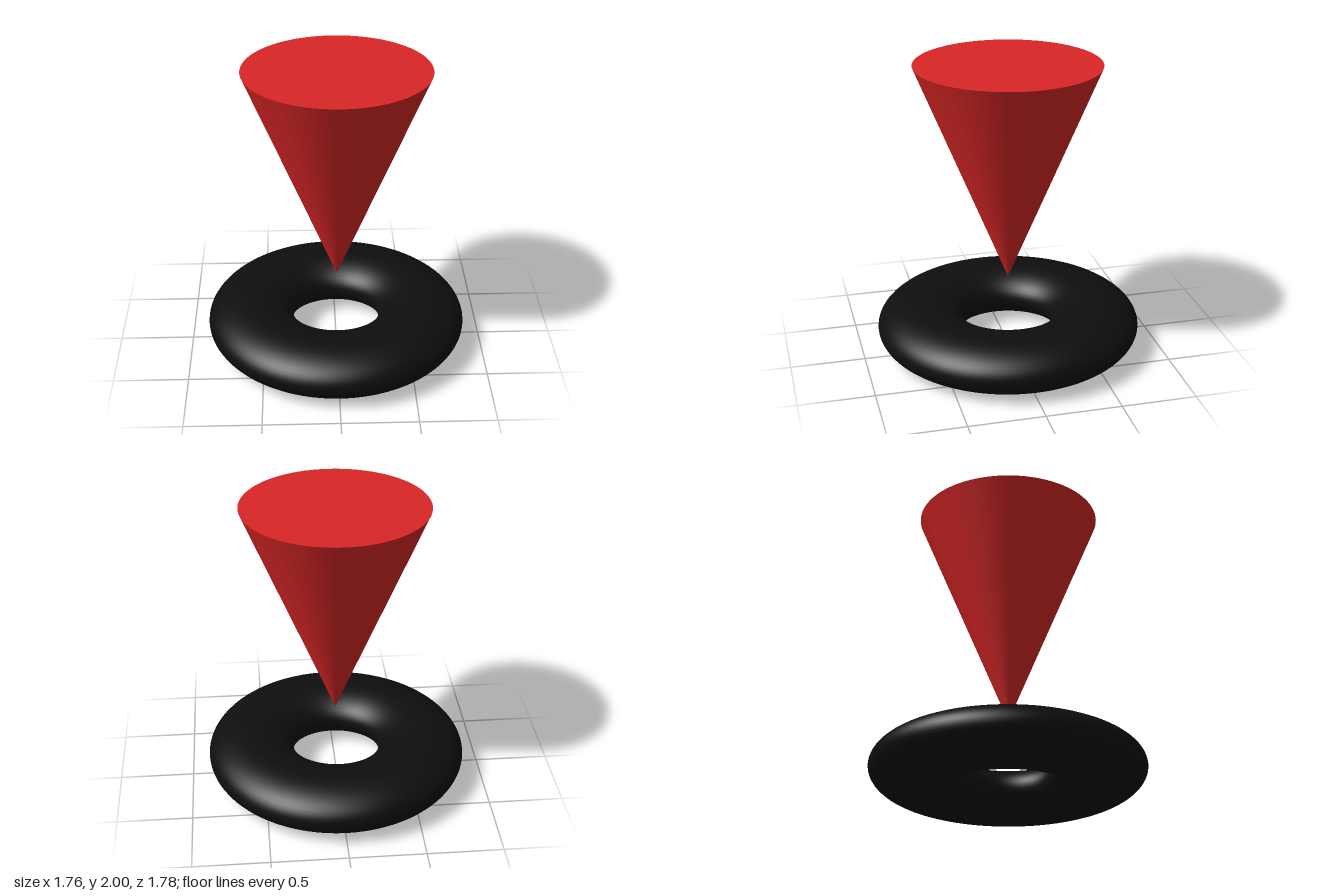
import * as THREE from 'three';

export function createModel() {
  const model = new THREE.Group();
  const red = new THREE.MeshStandardMaterial({ color: 0xd92626 });
  red.name = 'red';
  const black = new THREE.MeshStandardMaterial({ color: 0x0e0e0e });
  black.name = 'black';

  // Flattened ring lying on the ground, very slightly longer in z
  const ringGeometry = new THREE.TorusGeometry(0.59, 0.295, 48, 128);
  ringGeometry.rotateX(-Math.PI / 2);
  ringGeometry.scale(0.993, 0.585, 1.008);
  const ring = new THREE.Mesh(ringGeometry, black);
  ring.name = 'baseRing';
  ring.position.y = 0.1726;
  model.add(ring);

  // Inverted cone hovering point-down above the ring, with a flat cap
  const tipY = 0.51;
  const height = 2 - tipY;
  const coneGeometry = new THREE.CylinderGeometry(0.612, 0, height, 96);
  const cone = new THREE.Mesh(coneGeometry, red);
  cone.name = 'invertedCone';
  cone.position.set(0.005, tipY + height / 2, 0.002);
  model.add(cone);

  return model;
}
